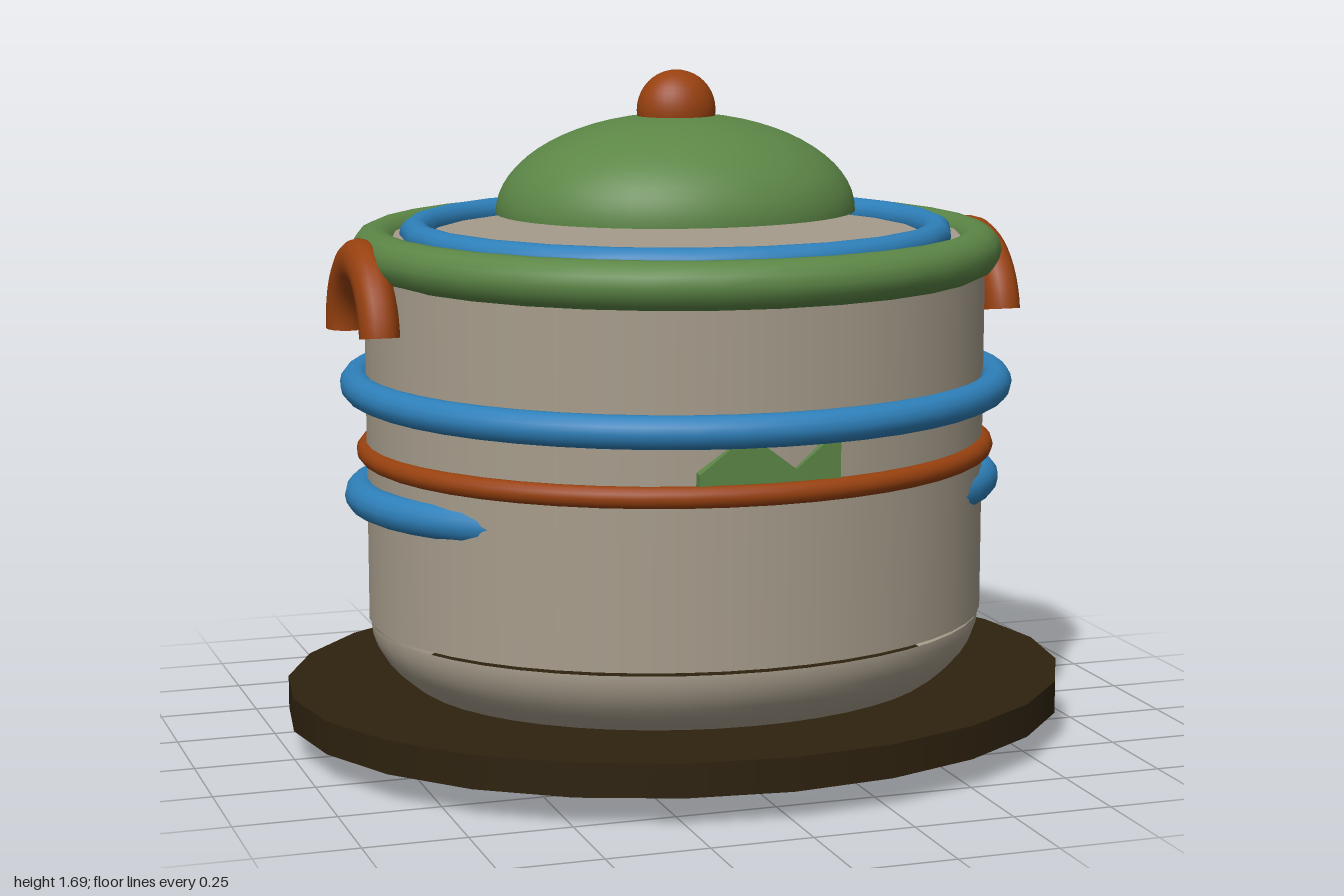
import * as THREE from 'three';

const material = (name, color) => {
  const m = new THREE.MeshStandardMaterial({ color });
  m.name = name;
  return m;
};

export function createModel() {
  const group = new THREE.Group();
  const clay = material('clay grey', 0xa69c8b);
  const green = material('leaf green', 0x5c8646);
  const blue = material('glaze blue', 0x2e80ba);
  const rust = material('rust orange', 0x98410f);
  const wood = material('dark wood', 0x2e220f);

  const add = (name, geometry, mat, x = 0, y = 0, z = 0) => {
    const mesh = new THREE.Mesh(geometry, mat);
    mesh.name = name;
    mesh.position.set(x, y, z);
    group.add(mesh);
    return mesh;
  };

  // Horizontal ring with outer half-widths rx, rz and tube radius r
  const ring = (name, mat, y, rx, rz, r, segments = 48) => {
    const g = new THREE.TorusGeometry(rx - r, r, 14, segments);
    g.rotateX(Math.PI / 2).scale(1, 1, rz / rx);
    return add(name, g, mat, 0, y);
  };

  // Half ellipsoid, upper or lower
  const halfBall = (name, mat, y, rx, ry, rz, upper) => {
    const g = new THREE.SphereGeometry(1, 48, 16, 0, Math.PI * 2, upper ? 0 : Math.PI / 2, Math.PI / 2);
    g.scale(rx, ry, rz);
    return add(name, g, mat, 0, y);
  };

  // Oval trivet under the pot
  const trivet = new THREE.CylinderGeometry(1, 1, 0.083, 24);
  trivet.scale(1, 1, 0.875);
  add('trivet', trivet, wood, 0, 0.114);

  // Oval pot with rounded base
  const wall = new THREE.CylinderGeometry(1, 1, 0.958, 48);
  wall.scale(0.79, 1, 0.693);
  add('potBody', wall, clay, 0, 0.801);
  halfBall('potBase', clay, 0.313, 0.785, 0.313, 0.688, false).material.side = THREE.DoubleSide;

  // Bands around the pot, the lip and the lid seat
  ring('lowerBand', blue, 0.645, 0.85, 0.63, 0.043);
  ring('thinBand', rust, 0.747, 0.813, 0.742, 0.026);
  ring('upperBand', blue, 0.913, 0.85, 0.83, 0.04);
  ring('lip', green, 1.247, 0.817, 0.812, 0.058, 32);
  ring('lidSeat', blue, 1.285, 0.695, 0.69, 0.037, 24);

  // Lid dome and knob
  halfBall('lid', green, 1.337, 0.457, 0.245, 0.4, true);
  const knob = new THREE.SphereGeometry(0.1, 32, 20);
  knob.scale(1, 1, 0.89);
  add('knob', knob, rust, 0, 1.59);

  // Arched side handles
  for (const [name, side] of [['leftHandle', 1], ['rightHandle', -1]]) {
    const g = new THREE.TorusGeometry(0.19, 0.056, 14, 24, 3);
    g.scale(1, 1, 0.87);
    add(name, g, rust, side * 0.81, 1.05).rotation.y = Math.PI / 2;
  }

  // Twin-peaked badge on the front
  const badge = new THREE.Shape([
    [-0.175, 0.74], [0.175, 0.74], [0.175, 0.89], [0.064, 0.8], [-0.055, 0.89], [-0.175, 0.8],
  ].map(([x, y]) => new THREE.Vector2(x, y)));
  add('frontBadge', new THREE.ExtrudeGeometry(badge, { depth: 0.03, bevelEnabled: false }), green, 0, 0, 0.673);

  return group;
}
